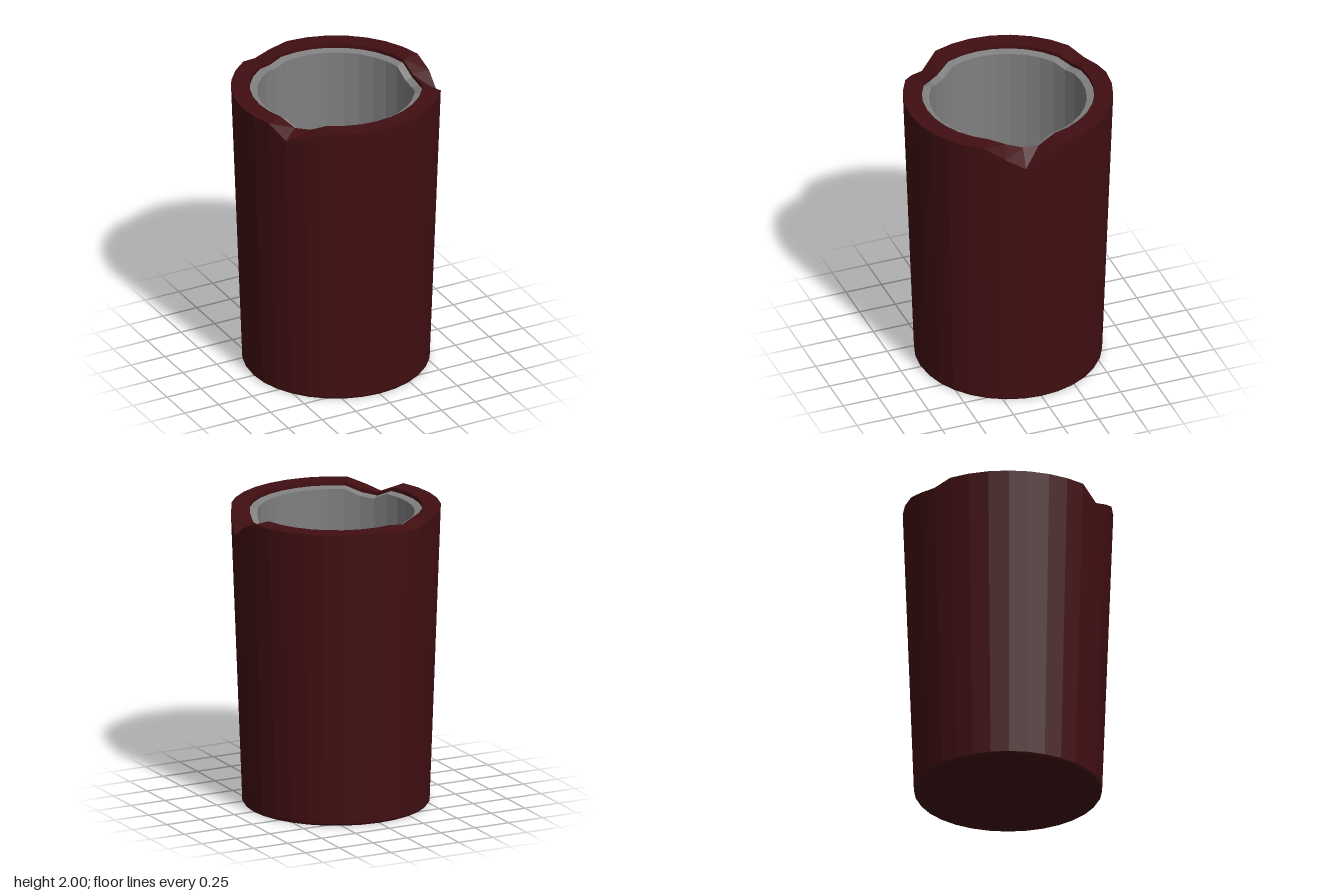
import * as THREE from 'three';

const SEGMENTS = 32;

// Vertical offsets of single columns, where the edges are chipped.
const outerChips = { 0: -0.06, 1: -0.15, 2: -0.075, 12: -0.045, 13: -0.09, 22: -0.035, 23: -0.02 };
const innerChips = { 0: -0.06, 1: -0.06, 2: -0.03, 12: -0.04, 13: -0.05, 22: -0.02 };
const baseChips = { 7: 0.01, 29: 0.025 };

// Sweeps rows of [radius, height, chips] around the y axis.
function chippedLathe(rows) {
  const positions = [];
  const point = (row, column) => {
    const i = column % SEGMENTS;
    const angle = (i / SEGMENTS) * Math.PI * 2;
    const [radius, height, chips = {}] = row;
    return [radius * Math.cos(angle), height + (chips[i] ?? 0), radius * Math.sin(angle)];
  };
  for (let r = 0; r < rows.length - 1; r++) {
    const low = rows[r];
    const high = rows[r + 1];
    for (let i = 0; i < SEGMENTS; i++) {
      const a = point(low, i), b = point(low, i + 1);
      const c = point(high, i), d = point(high, i + 1);
      if (low[0] > 0) positions.push(...a, ...c, ...b);
      if (high[0] > 0) positions.push(...b, ...c, ...d);
    }
  }
  const geometry = new THREE.BufferGeometry();
  geometry.setAttribute('position', new THREE.Float32BufferAttribute(positions, 3));
  geometry.computeVertexNormals();
  return geometry;
}

function part(name, rows, color) {
  const material = new THREE.MeshStandardMaterial({ color, flatShading: true });
  const mesh = new THREE.Mesh(chippedLathe(rows), material);
  mesh.name = name;
  return mesh;
}

export function createModel() {
  const group = new THREE.Group();
  group.name = 'chippedCup';

  // Outer shell: base, tapered wall, broad rim and a small step down inside it
  group.add(part('outerShell', [
    [0, 0],
    [0.607, 0],
    [0.615, 0.012, baseChips],
    [0.688, 2, outerChips],
    [0.565, 2, innerChips],
    [0.565, 1.975, innerChips],
  ], 0x420f12));

  // Liner: narrow ledge below the rim, inner wall and floor
  group.add(part('liner', [
    [0.565, 1.975, innerChips],
    [0.515, 1.965, innerChips],
    [0.515, 0.12],
    [0, 0.12],
  ], 0x808080));

  return group;
}
